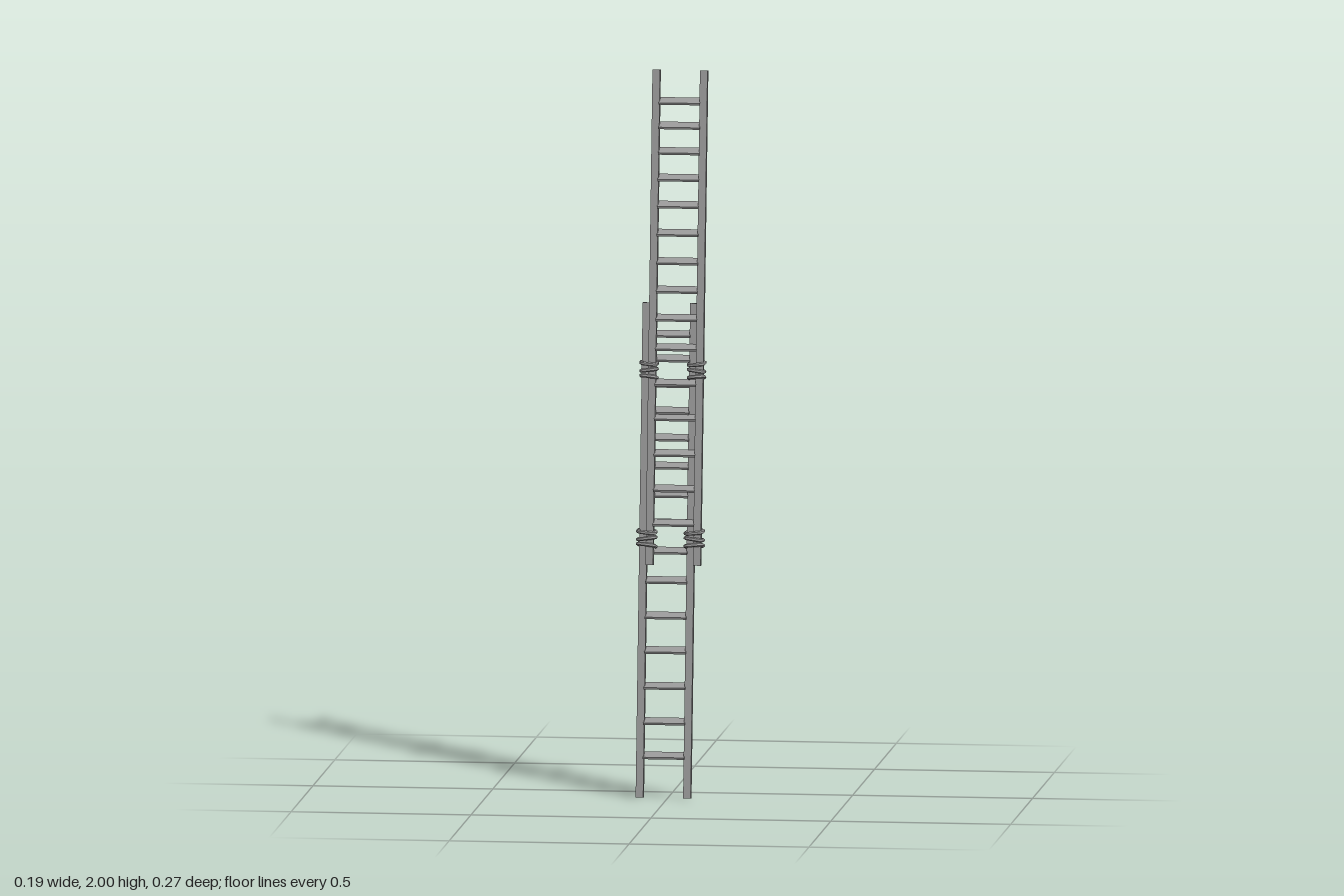
import * as THREE from 'three';

const LEAN = 0.118;
const RAIL = 0.021;      // rail thickness
const HALF = 0.066;      // half distance between the rails
const LENGTH = 1.367;
const material = new THREE.MeshStandardMaterial({ color: 0x999999, flatShading: true });

function addMesh(parent, name, geometry, x, y, z) {
  const mesh = new THREE.Mesh(geometry, material);
  mesh.name = name;
  mesh.position.set(x, y, z);
  parent.add(mesh);
  return mesh;
}

// rung heights tighten towards the top
const RUNGS = [0.116, 0.21, 0.307, 0.405, 0.5, 0.597, 0.678, 0.755, 0.833,
  0.911, 0.988, 1.062, 1.135, 1.205, 1.272];

// one ladder section, built upright with its foot at the origin
function ladder(name) {
  const g = new THREE.Group();
  g.name = name;
  for (const side of [-1, 1]) {
    addMesh(g, 'rail', new THREE.BoxGeometry(RAIL, LENGTH, RAIL), side * HALF, LENGTH / 2, 0);
    // tapered hook pointing back from the rail top
    const hook = new THREE.CylinderGeometry(0.0045 * Math.SQRT2, 0.0085 * Math.SQRT2, 0.034, 4);
    hook.rotateY(Math.PI / 4);
    hook.scale(1, 1, 0.6);
    hook.rotateX(-Math.PI / 2 - 0.08);
    addMesh(g, 'hook', hook, side * HALF, LENGTH - 0.012, -RAIL / 2 - 0.0165);
  }
  // flat treads sloping down to the front
  for (const y of RUNGS) {
    const rung = addMesh(g, 'rung',
      new THREE.BoxGeometry(2 * HALF - RAIL + 0.004, 0.006, 0.037), 0, y / Math.cos(LEAN), 0);
    rung.rotation.x = LEAN + 0.3;
  }
  g.rotation.x = -LEAN;
  return g;
}

// rounded rectangular rope turn lying in the xz plane
function ropeLoop(hx, hz) {
  const points = [];
  for (let i = 0; i < 24; i++) {
    const a = (i / 24) * Math.PI * 2;
    const c = Math.cos(a), s = Math.sin(a);
    points.push(new THREE.Vector3(
      hx * Math.sign(c) * Math.pow(Math.abs(c), 0.45), 0,
      hz * Math.sign(s) * Math.pow(Math.abs(s), 0.45)));
  }
  return new THREE.TubeGeometry(new THREE.CatmullRomCurve3(points, true), 40, 0.0055, 6, true);
}

export function createModel() {
  const model = new THREE.Group();
  model.name = 'lashedLadders';

  const lower = ladder('lowerLadder');
  lower.position.set(-0.0105, 0.0012, 0.123);
  const upper = ladder('upperLadder');
  upper.position.set(0.0105, 0.643, 0.071);
  model.add(lower, upper);

  // rope lashings around each pair of rails: height, depth and half sizes
  for (const [y, z, hx, hz] of [[0.714, 0.0505, 0.0235, 0.027], [1.176, -0.003, 0.021, 0.0245]]) {
    for (const side of [-1, 1]) {
      const lashing = new THREE.Group();
      lashing.name = 'ropeLashing';
      lashing.position.set(side * HALF, y, z);
      lashing.rotation.x = -LEAN;
      for (let i = -1; i <= 1; i++) {
        const turn = addMesh(lashing, 'ropeTurn', ropeLoop(hx, hz), 0, i * 0.019, 0);
        turn.rotation.set(i * 0.1, 0, side * (i === 0 ? -0.14 : 0.1));
      }
      model.add(lashing);
    }
  }
  return model;
}
